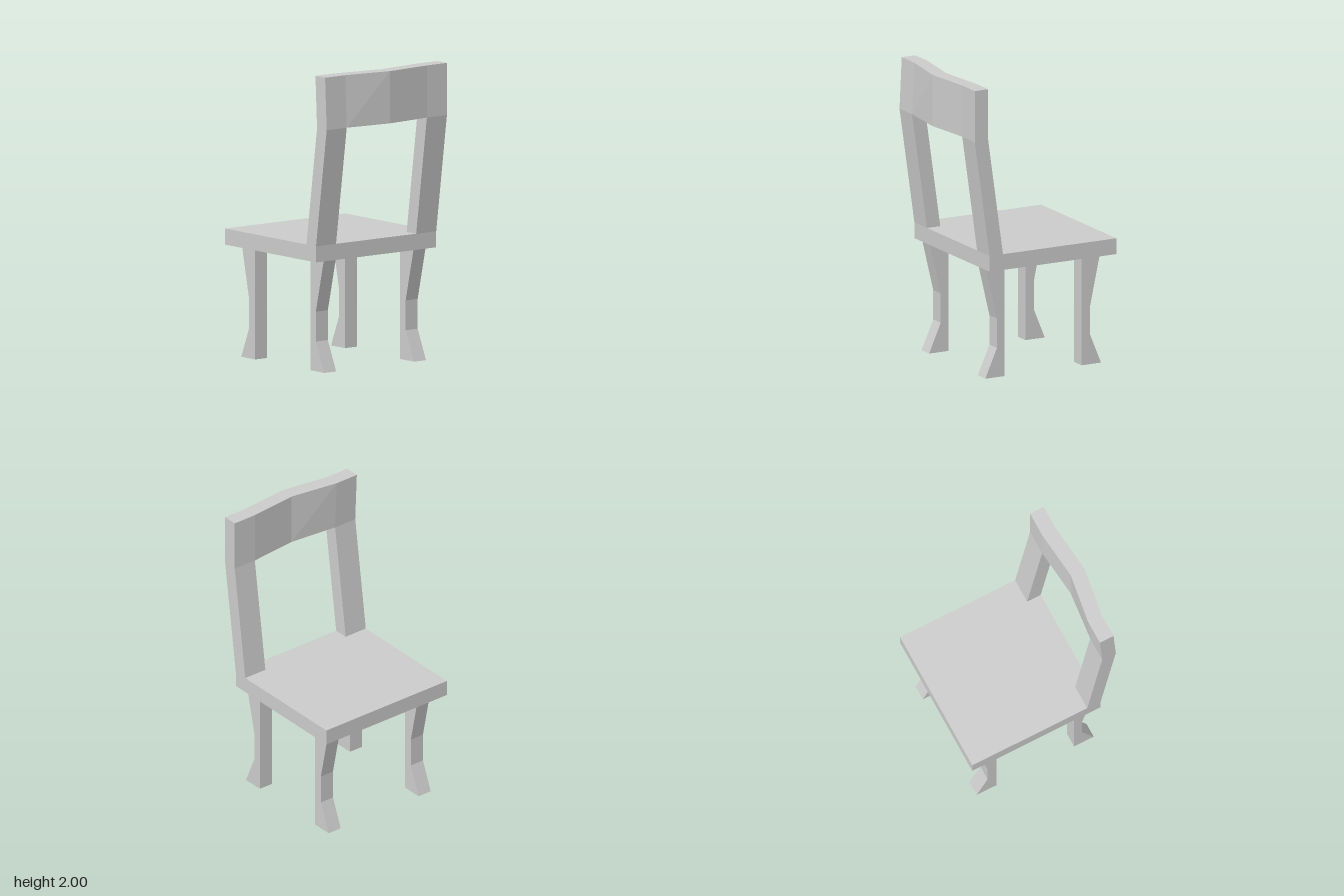
import * as THREE from 'three';

const material = new THREE.MeshStandardMaterial({ color: 0xcccccc, flatShading: true });

// Side profile of [z, y] points, extruded along x from x0 to x1
function sideProfile(name, points, x0, x1) {
  const shape = new THREE.Shape(points.map(([z, y]) => new THREE.Vector2(z, y)));
  const geometry = new THREE.ExtrudeGeometry(shape, { depth: x1 - x0, bevelEnabled: false });
  geometry.rotateY(-Math.PI / 2).translate(x1, 0, 0);
  const mesh = new THREE.Mesh(geometry, material);
  mesh.name = name;
  return mesh;
}

// Top rail: a segmented slab bowed backwards, its right upper corner leaning in slightly
function createTopRail() {
  const xs = [-0.51, -0.34, 0, 0.34, 0.51];
  const lowerZ = [0.417, 0.417, 0.452, 0.417, 0.417];
  const upperZ = [0.4, 0.4, 0.452, 0.417, 0.417];
  const geometry = new THREE.BoxGeometry(4, 2, 2, 4, 1, 1);
  const p = geometry.attributes.position;
  for (let i = 0; i < p.count; i++) {
    const column = Math.round(p.getX(i) + 2);
    const upper = p.getY(i) > 0;
    const front = (upper ? upperZ : lowerZ)[column];
    p.setXYZ(i, xs[column], upper ? 2 : 1.65, front + (p.getZ(i) > 0 ? 0.102 : 0));
  }
  const flat = geometry.toNonIndexed();
  flat.computeVertexNormals();
  const mesh = new THREE.Mesh(flat, material);
  mesh.name = 'topRail';
  return mesh;
}

export function createModel() {
  const chair = new THREE.Group();
  chair.name = 'chair';

  // Seat slab
  const seat = new THREE.Mesh(new THREE.BoxGeometry(1.02, 0.108, 0.962), material);
  seat.name = 'seat';
  seat.position.set(0, 0.804, -0.075);
  chair.add(seat);

  // Legs: straight inner face, waisted outer face with a flared foot
  const backrestLeg = [[0.248, 0], [0.395, 0], [0.307, 0.2], [0.307, 0.4], [0.39, 0.75], [0.248, 0.75]];
  const openSideLeg = [[-0.335, 0], [-0.335, 0.75], [-0.475, 0.75], [-0.4, 0.4], [-0.4, 0.2], [-0.482, 0]];
  // Slanted backrest posts
  const post = [[0.305, 0.858], [0.406, 0.858], [0.519, 1.65], [0.417, 1.65]];

  for (const [side, s] of [['left', 1], ['right', -1]]) {
    const span = (a, b) => (s > 0 ? [a, b] : [-b, -a]);
    chair.add(
      sideProfile(side + 'BackrestLeg', backrestLeg, ...span(0.33, 0.432)),
      sideProfile(side + 'OpenSideLeg', openSideLeg, ...span(0.33, 0.432)),
      sideProfile(side + 'BackrestPost', post, ...span(0.34, 0.51)),
    );
  }

  chair.add(createTopRail());
  return chair;
}
